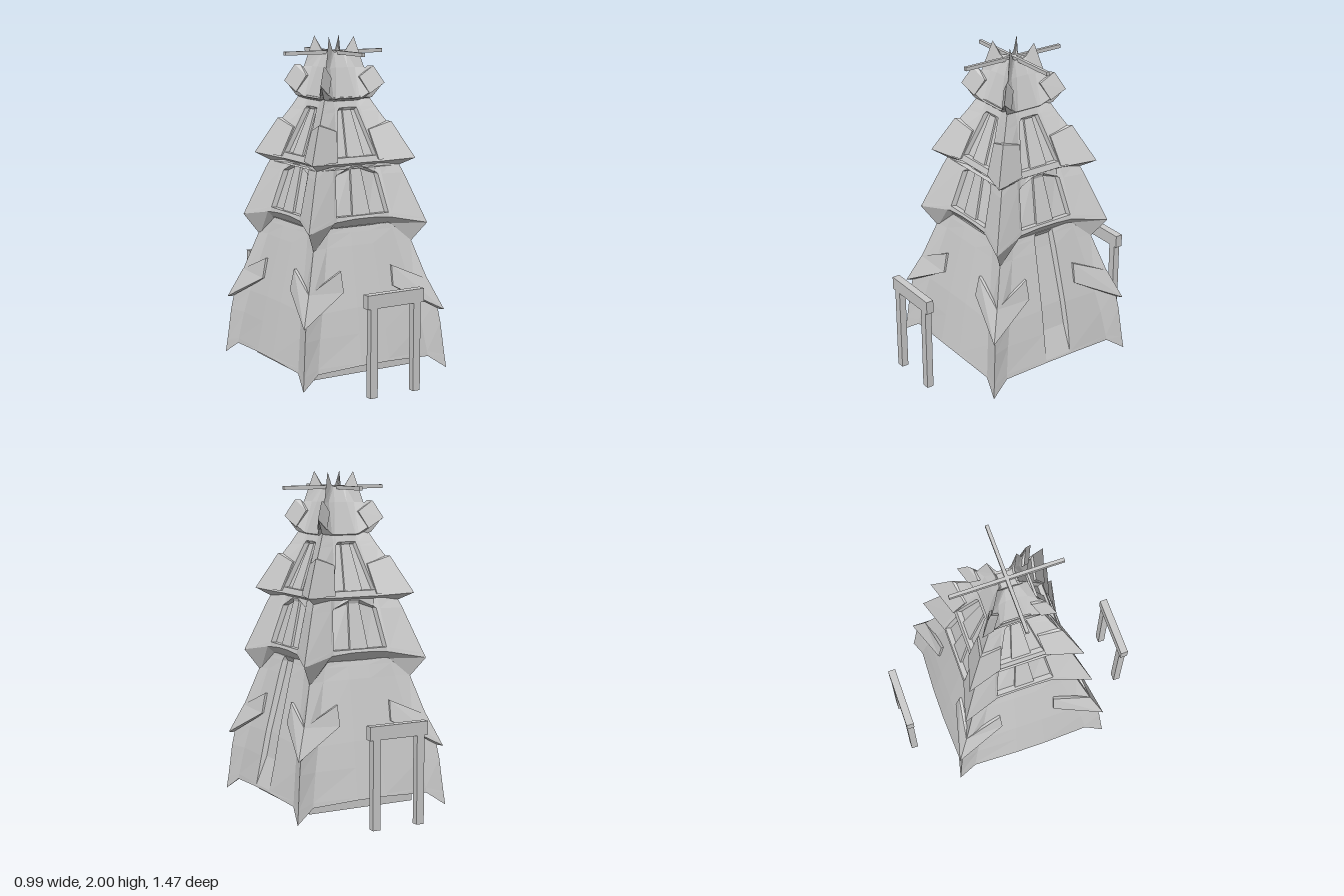
import * as THREE from 'three';

const material = new THREE.MeshStandardMaterial({ color: 0xcccccc, flatShading: true });

// Skin a list of closed rings (each counter-clockwise seen from the end), with end caps
function loft(rings) {
  const pos = [];
  const tri = (a, b, c) => pos.push(...a, ...b, ...c);
  const n = rings[0].length;
  for (let r = 0; r < rings.length - 1; r++) {
    const a = rings[r], b = rings[r + 1];
    for (let i = 0; i < n; i++) {
      const j = (i + 1) % n;
      tri(a[i], a[j], b[j]);
      tri(a[i], b[j], b[i]);
    }
  }
  const first = rings[0], last = rings[rings.length - 1];
  for (let i = 1; i < n - 1; i++) {
    tri(first[0], first[i + 1], first[i]);
    tri(last[0], last[i], last[i + 1]);
  }
  const g = new THREE.BufferGeometry();
  g.setAttribute('position', new THREE.Float32BufferAttribute(pos, 3));
  g.computeVertexNormals();
  return g;
}

// Square ring from half a side (corner to middle) mirrored and turned; the left side may differ
function squareRing(half, leftHalf = half) {
  const out = [];
  for (let k = 0; k < 4; k++) {
    const c = Math.round(Math.cos(k * Math.PI / 2)), s = Math.round(Math.sin(k * Math.PI / 2));
    const h = k === 1 ? leftHalf : half;
    const side = [...h.map(([x, y, z]) => [-x, y, z]), ...h.slice(1).reverse()];
    for (const [x, y, z] of side) out.push([x * c + z * s, y, z * c - x * s]);
  }
  return out;
}

// Roof ring with a window recess of depth d and a half-proud strip in its middle
function roofRing([h, hy], shoulder, [jx, jy], [cx, cy], z, d = 0) {
  return squareRing([[h, hy, h], shoulder, [jx, jy, z], [jx - 0.01, jy, z - d],
    [cx, cy, z - d], [cx, cy, z - d / 2]]);
}

// Wall ring whose left side alone carries a door recess of depth d
function wallRing([h, hy], shoulder, [mx, my, mz], d = 0) {
  const half = (depth) => [[h, hy, h], shoulder, [mx, my, mz], [mx - 0.012, my, mz - depth]];
  return squareRing(half(0), half(d));
}

// L-shaped plate wrapped round a corner; each point lies on its outer face
function cornerPlate(cornerTop, cornerLow, endTop, endLow, t) {
  const flip = ([x, y, z]) => [z, y, x];
  const section = (top, low, dx, dz) => [top, low,
    [low[0] - dx, low[1], low[2] - dz], [top[0] - dx, top[1], top[2] - dz]];
  const [ct, ch] = cornerTop, [lt, lh] = cornerLow;
  return loft([
    section(endTop, endLow, 0, t),
    section([ct, ch, ct], [lt, lh, lt], t, t),
    section(flip(endTop), flip(endLow), t, 0),
  ]);
}

export function createModel() {
  const model = new THREE.Group();
  const add = (name, geometry, parent = model) => {
    const mesh = new THREE.Mesh(geometry, material);
    mesh.name = name;
    parent.add(mesh);
    return mesh;
  };
  const box = (name, x0, x1, y0, y1, z0, z1, parent) =>
    add(name, new THREE.BoxGeometry(x1 - x0, y1 - y0, z1 - z0), parent)
      .position.set((x0 + x1) / 2, (y0 + y1) / 2, (z0 + z1) / 2);
  const around = (name, geometry) => {
    for (let k = 0; k < 4; k++) add(name, geometry).rotation.y = k * Math.PI / 2;
  };

  // Foundation and flared ground storey with a tall door recess on the left
  box('foundation', -0.35, 0.342, 0.03, 0.32, -0.346, 0.346);
  add('groundStorey', loft([
    wallRing([0.34, 0.3], [0.3, 0.3, 0.34], [0.1, 0.3, 0.34]),
    wallRing([0.495, 0.02], [0.38, 0.1, 0.465], [0.1, 0.115, 0.478]),
    wallRing([0.486, 0.1], [0.377, 0.13, 0.461], [0.095, 0.13, 0.475]),
    wallRing([0.467, 0.3], [0.35, 0.3, 0.436], [0.09, 0.3, 0.443], 0.03),
    wallRing([0.448, 0.43], [0.32, 0.44, 0.41], [0.085, 0.45, 0.414], 0.03),
    wallRing([0.335, 0.8], [0.24, 0.8, 0.325], [0.072, 0.8, 0.33], 0.035),
    wallRing([0.319, 0.875], [0.22, 0.875, 0.308], [0.068, 0.875, 0.309], 0.03),
    wallRing([0.31, 0.91], [0.21, 0.91, 0.3], [0.066, 0.905, 0.3]),
  ]));

  // Lower roof with dropped corner brackets and arched window recesses
  add('lowerRoof', loft([
    roofRing([0.33, 0.78], [0.2, 0.9, 0.295], [0.17, 0.902, ], [0.06, 0.905], 0.295),
    roofRing([0.405, 0.905], [0.2, 0.945, 0.345], [0.178, 0.948], [0.06, 0.957], 0.338),
    roofRing([0.396, 0.93], [0.195, 0.972, 0.338], [0.178, 0.975], [0.06, 0.975], 0.332),
    roofRing([0.396, 0.93], [0.195, 0.972, 0.338], [0.178, 0.975], [0.06, 0.975], 0.332, 0.03),
    roofRing([0.302, 1.2], [0.165, 1.2, 0.275], [0.145, 1.2], [0.035, 1.235], 0.265, 0.03),
    roofRing([0.27, 1.28], [0.15, 1.28, 0.25], [0.13, 1.215], [0.035, 1.255], 0.255),
    roofRing([0.268, 1.285], [0.14, 1.285, 0.24], [0.12, 1.285], [0.035, 1.285], 0.24),
  ]));

  // Middle roof with upturned corners and tapering window recesses
  add('middleRoof', loft([
    roofRing([0.28, 1.245], [0.15, 1.25, 0.235], [0.13, 1.25], [0.06, 1.25], 0.235),
    roofRing([0.35, 1.29], [0.145, 1.275, 0.28], [0.135, 1.275], [0.06, 1.275], 0.276),
    roofRing([0.338, 1.31], [0.143, 1.31, 0.267], [0.135, 1.31], [0.058, 1.31], 0.264),
    roofRing([0.338, 1.31], [0.143, 1.31, 0.267], [0.135, 1.31], [0.058, 1.31], 0.264, 0.028),
    roofRing([0.193, 1.565], [0.09, 1.565, 0.165], [0.068, 1.572], [0.028, 1.575], 0.16, 0.026),
    roofRing([0.18, 1.59], [0.085, 1.59, 0.155], [0.064, 1.588], [0.028, 1.59], 0.153),
    roofRing([0.15, 1.65], [0.08, 1.65, 0.13], [0.06, 1.65], [0.025, 1.65], 0.13),
  ]));

  // Crown with upturned eaves, four corner spikes and a sunken top
  add('crown', loft([
    [[0.165, 1.645, 0.165], [0.09, 1.61, 0.118], [0.06, 1.603, 0.11]],
    [[0.21, 1.725, 0.21], [0.09, 1.637, 0.15], [0.07, 1.633, 0.145]],
    [[0.13, 1.82, 0.13], [0.085, 1.82, 0.1], [0.04, 1.82, 0.09]],
    [[0.085, 2.0, 0.085], [0.045, 1.92, 0.06], [0.03, 1.91, 0.055]],
    [[0.05, 1.9, 0.05], [0.035, 1.9, 0.045], [0.02, 1.9, 0.045]],
  ].map((half) => squareRing(half))));

  // Corner plates on the ground storey, middle roof and crown
  around('groundCornerPlate', cornerPlate([0.41, 0.56], [0.482, 0.38],
    [0.175, 0.665, 0.375], [0.17, 0.545, 0.4], 0.02));
  around('middleCornerPlate', cornerPlate([0.247, 1.505], [0.352, 1.29],
    [0.11, 1.46, 0.218], [0.14, 1.287, 0.285], 0.025));
  around('crownCornerPlate', cornerPlate([0.17, 1.83], [0.218, 1.73],
    [0.095, 1.765, 0.135], [0.14, 1.667, 0.18], 0.025));

  // Crossed beams through the crown
  box('crossBeamX', -0.333, 0.333, 1.895, 1.917, -0.01, 0.01);
  box('crossBeamZ', -0.01, 0.01, 1.895, 1.917, -0.333, 0.333);

  // Free-standing gates before the front and back
  for (const [name, z] of [['frontGate', 0.712], ['backGate', -0.712]]) {
    const gate = new THREE.Group();
    gate.name = name;
    gate.position.z = z;
    box('rightPost', -0.195, -0.147, 0, 0.53, -0.021, 0.021, gate);
    box('leftPost', 0.093, 0.14, 0, 0.53, -0.021, 0.021, gate);
    box('lintel', -0.217, 0.161, 0.52, 0.6, -0.023, 0.023, gate);
    model.add(gate);
  }
  return model;
}
